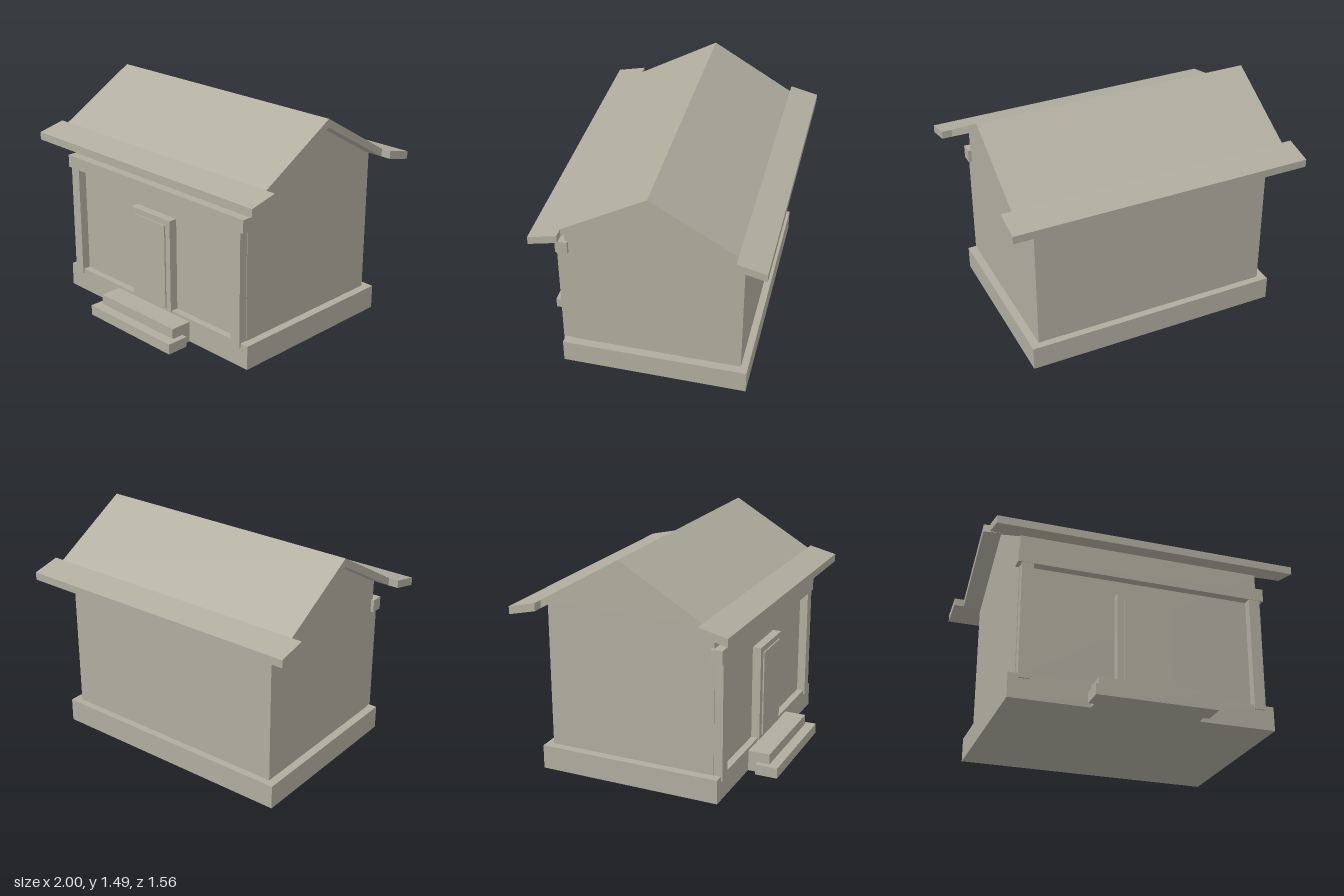
import * as THREE from 'three';

export function createModel() {
  const model = new THREE.Group();
  model.name = 'house';
  const stone = new THREE.MeshStandardMaterial({ color: 0xb0ad9f });
  stone.name = 'warm grey';

  const add = (name, geometry) => {
    const mesh = new THREE.Mesh(geometry, stone);
    mesh.name = name;
    model.add(mesh);
    return mesh;
  };

  // Box given by its limits along each axis
  const box = (name, x0, x1, y0, y1, z0, z1) =>
    add(name, new THREE.BoxGeometry(x1 - x0, y1 - y0, z1 - z0))
      .position.set((x0 + x1) / 2, (y0 + y1) / 2, (z0 + z1) / 2);

  // Side profile of [z, y] points, extruded across x
  const across = (name, points, halfWidth) => {
    const shape = new THREE.Shape(points.map(([z, y]) => new THREE.Vector2(-z, y)));
    const geometry = new THREE.ExtrudeGeometry(shape, { depth: 2 * halfWidth, bevelEnabled: false });
    add(name, geometry.translate(0, 0, -halfWidth).rotateY(Math.PI / 2));
  };

  // Plinth and entrance steps
  box('plinth', -0.865, 0.865, 0, 0.16, -0.66, 0.567);
  box('upperStep', -0.35, 0.35, 0, 0.14, 0.56, 0.713);
  box('lowerStep', -0.388, 0.388, 0, 0.07, 0.63, 0.78);

  // Walls with gable ends
  const ridge = -0.046;
  across('walls', [
    [0.52, 0.15], [0.52, 1.12], [0.496, 1.125], [ridge, 1.438],
    [-0.588, 1.125], [-0.613, 1.12], [-0.613, 0.15],
  ], 0.81);

  // Pitched roof
  const knee = 0.542;
  across('roof', [
    [ridge + knee, 1.125], [ridge + knee, 1.177], [ridge, 1.493],
    [ridge - knee, 1.177], [ridge - knee, 1.125], [ridge, 1.438],
  ], 0.933);

  // Shallower, wider eaves at front and back
  for (const [name, side] of [['frontEave', 1], ['backEave', -1]]) {
    const inner = ridge + side * knee, outer = ridge + side * 0.729;
    across(name, [[inner, 1.125], [outer, 1.081], [outer, 1.133], [inner, 1.177]], 1);
  }

  // Corner posts and the beam they carry
  box('leftPost', 0.73, 0.806, 0.13, 0.9, 0.5, 0.577);
  box('rightPost', -0.806, -0.73, 0.13, 0.9, 0.5, 0.577);
  box('beam', -0.832, 0.832, 0.9, 0.987, 0.5, 0.58);

  // Door
  box('doorFrame', -0.185, 0.185, 0.15, 0.79, 0.5, 0.577);
  box('doorPanel', -0.143, 0.143, 0.17, 0.75, 0.577, 0.586);

  return model;
}
